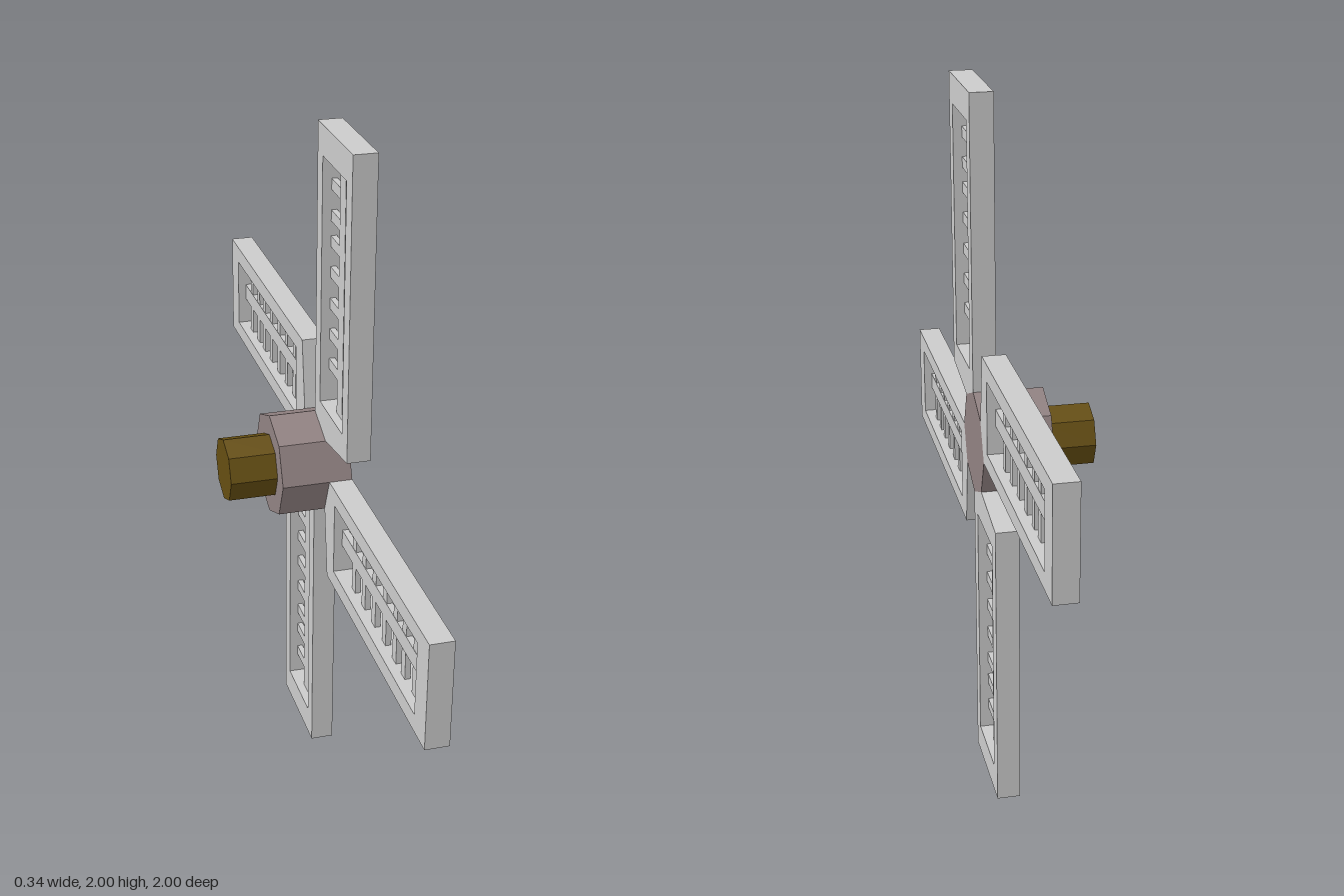
import * as THREE from 'three';

const grey = new THREE.MeshStandardMaterial({ color: 0xcccccc, flatShading: true });
const hubMaterial = new THREE.MeshStandardMaterial({ color: 0x918282, flatShading: true });
const shaftMaterial = new THREE.MeshStandardMaterial({ color: 0x654e12, flatShading: true });

const HUB_R = 0.153;
const FRONT = 0.167;                  // outer face of hub and sails
const SAIL_BACK = 0.1;                // rear face of the sails
const HOLE = { x0: -0.262, x1: -0.048, y0: 0.205, y1: 0.917 };

function addMesh(parent, name, geometry, material) {
  const mesh = new THREE.Mesh(geometry, material);
  mesh.name = name;
  parent.add(mesh);
  return mesh;
}

// Octagonal prism along the rotor axis, from z0 to z1
function prism(radius, z0, z1) {
  return new THREE.CylinderGeometry(radius, radius, z1 - z0, 8)
    .rotateX(Math.PI / 2)
    .translate(0, 0, (z0 + z1) / 2);
}

// One sail: a frame with a window, its inner end fitted to the hub
function createSail() {
  const sail = new THREE.Group();
  sail.name = 'sail';

  const d = HUB_R * Math.SQRT1_2;
  const outline = new THREE.Shape([
    [0, 1], [-0.312, 1], [-0.312, 0.14], [-d, d], [0, HUB_R],
  ].map(([x, y]) => new THREE.Vector2(x, y)));
  outline.holes.push(new THREE.Path([
    [HOLE.x0, HOLE.y0], [HOLE.x0, HOLE.y1], [HOLE.x1, HOLE.y1], [HOLE.x1, HOLE.y0],
  ].map(([x, y]) => new THREE.Vector2(x, y))));
  const frame = new THREE.ExtrudeGeometry(outline, { depth: FRONT - SAIL_BACK, bevelEnabled: false });
  addMesh(sail, 'sailFrame', frame.translate(0, 0, SAIL_BACK), grey);

  // Lattice set midway in the frame's depth
  const midX = (HOLE.x0 + HOLE.x1) / 2;
  const midZ = (FRONT + SAIL_BACK) / 2;
  addMesh(sail, 'latticeSpine',
    new THREE.BoxGeometry(0.05, HOLE.y1 - HOLE.y0, 0.018), grey)
    .position.set(midX, (HOLE.y0 + HOLE.y1) / 2, midZ);
  for (const y of [0.318, 0.408, 0.498, 0.59, 0.678, 0.751, 0.838]) {
    addMesh(sail, 'latticeBar',
      new THREE.BoxGeometry(HOLE.x1 - HOLE.x0, 0.031, 0.016), grey)
      .position.set(midX, y, midZ);
  }
  return sail;
}

export function createModel() {
  const model = new THREE.Group();
  model.name = 'windmillRotor';

  // The rotor is built facing +z, then turned to face +x
  const rotor = new THREE.Group();
  rotor.name = 'rotor';
  rotor.rotation.y = Math.PI / 2;
  rotor.position.y = 1;
  model.add(rotor);

  addMesh(rotor, 'hub', prism(HUB_R, -0.035, FRONT), hubMaterial);
  addMesh(rotor, 'shaft', prism(0.094, -0.17, -0.03), shaftMaterial);

  for (let i = 0; i < 4; i++) {
    const sail = createSail();
    sail.rotation.z = i * Math.PI / 2;
    rotor.add(sail);
  }
  return model;
}
